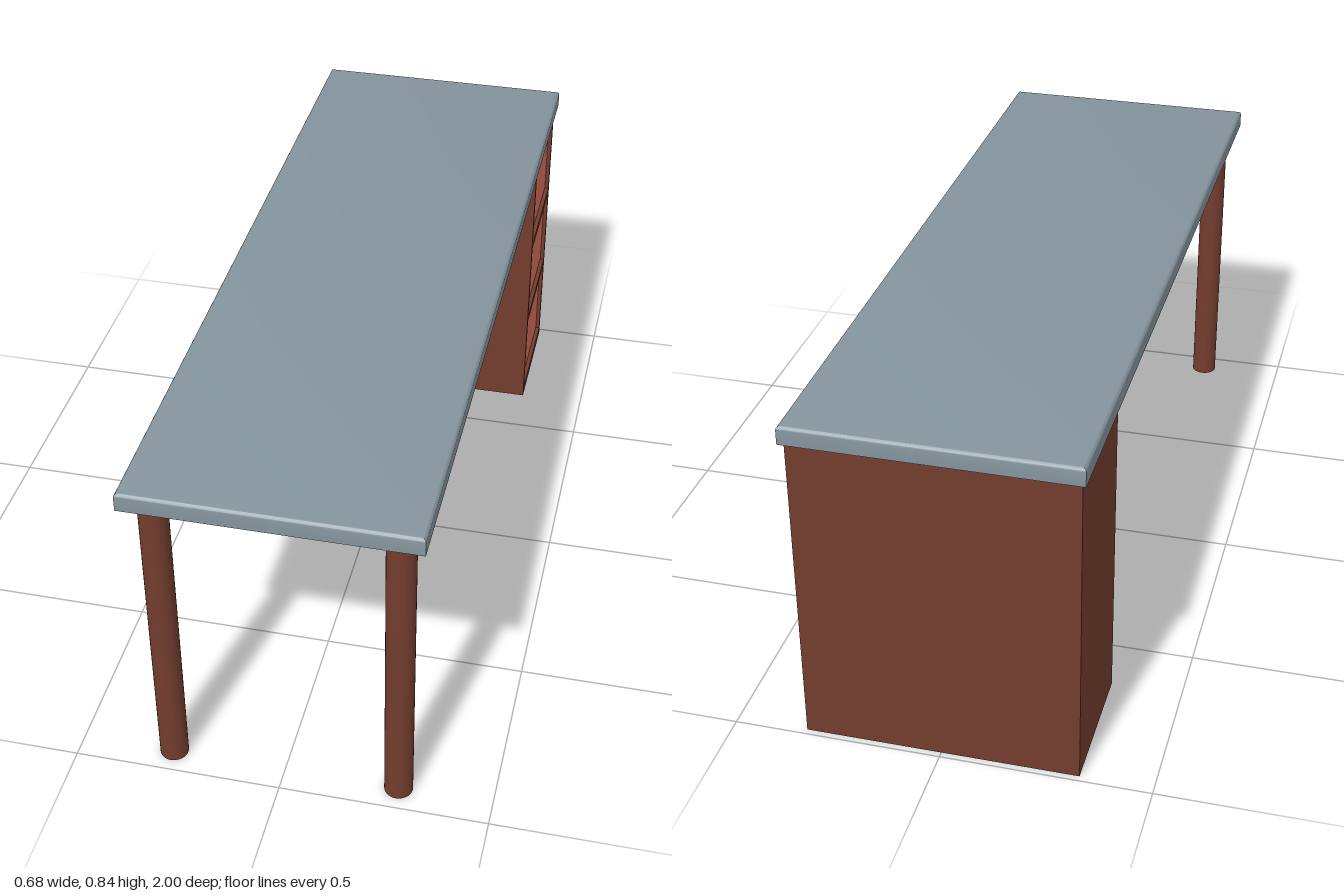
import * as THREE from 'three';
import { toCreasedNormals } from 'three/addons/utils/BufferGeometryUtils.js';

const wood = new THREE.MeshStandardMaterial({ color: 0x733d2e });
wood.name = 'brown wood';
const salmon = new THREE.MeshStandardMaterial({ color: 0xd9705f });
salmon.name = 'salmon drawer';
const grey = new THREE.MeshStandardMaterial({ color: 0x84949d });
grey.name = 'blue grey top';

function addMesh(parent, name, geometry, material) {
  const mesh = new THREE.Mesh(geometry, material);
  mesh.name = name;
  parent.add(mesh);
  return mesh;
}

const polygon = (pairs) => pairs.map(([x, y]) => new THREE.Vector2(x, y));
const rectangle = (x0, y0, x1, y1) => polygon([[x0, y0], [x1, y0], [x1, y1], [x0, y1]]);

// Extrudes a side profile (u = -z, v = y) from x0 to x1
function extrudeAcross(shape, x0, x1) {
  const g = new THREE.ExtrudeGeometry(shape, { depth: x1 - x0, bevelEnabled: false });
  return g.rotateY(Math.PI / 2).translate(x0, 0, 0);
}

// Slab with rounded upper edges and square lower edges
function tabletopGeometry(halfX, halfZ, y0, y1, r) {
  const g = new THREE.ExtrudeGeometry(new THREE.Shape(rectangle(-halfX, -halfZ, halfX, halfZ)), {
    depth: y1 - y0 - 2 * r, bevelThickness: r, bevelSize: r, bevelOffset: -r, bevelSegments: 4,
  });
  g.rotateX(-Math.PI / 2).translate(0, y0 + r, 0);
  const p = g.attributes.position;
  for (let i = 0; i < p.count; i++) {
    if (p.getY(i) < (y0 + y1) / 2) {
      p.setX(i, Math.sign(p.getX(i)) * halfX);
      p.setZ(i, Math.sign(p.getZ(i)) * halfZ);
    }
  }
  return toCreasedNormals(g, 0.6);
}

export function createModel() {
  const desk = new THREE.Group();
  desk.name = 'desk';

  addMesh(desk, 'tabletop', tabletopGeometry(0.338, 1, 0.795, 0.84, 0.009), grey);

  // Round front legs
  for (const side of [1, -1]) {
    const leg = addMesh(desk, side > 0 ? 'leftLeg' : 'rightLeg',
      new THREE.CylinderGeometry(0.034, 0.034, 0.797, 32), wood);
    leg.position.set(side * 0.275, 0.3985, 0.938);
  }

  // Cabinet with three openings on the left side
  const cabinet = new THREE.Group();
  cabinet.name = 'cabinet';
  desk.add(cabinet);
  const frame = new THREE.Shape(rectangle(0.645, 0, 0.985, 0.79));
  const drawers = [[0.026, 0.262], [0.281, 0.513], [0.532, 0.771]];
  for (const [low, high] of drawers) {
    frame.holes.push(new THREE.Path(rectangle(0.659, low, 0.971, high)));
  }
  addMesh(cabinet, 'cabinetBody', extrudeAcross(frame, -0.31, 0.328), wood);
  addMesh(cabinet, 'cabinetBack', extrudeAcross(new THREE.Shape(rectangle(0.645, 0, 0.985, 0.79)), -0.328, -0.31), wood);

  // Recessed drawer fronts with a finger notch, and floors behind them
  const mid = 0.815;
  drawers.forEach(([low, high], i) => {
    const bottom = low + 0.005, top = high - 0.005;
    const front = new THREE.Shape(polygon([
      [0.664, bottom], [0.966, bottom], [0.966, top],
      [mid + 0.062, top], [mid + 0.05, top - 0.008], [mid + 0.03, top - 0.028],
      [mid - 0.03, top - 0.028], [mid - 0.05, top - 0.008], [mid - 0.062, top],
      [0.664, top],
    ]));
    addMesh(cabinet, `drawerFront${i + 1}`, extrudeAcross(front, 0.3, 0.318), salmon);
    addMesh(cabinet, `drawerFloor${i + 1}`,
      extrudeAcross(new THREE.Shape(rectangle(0.664, bottom, 0.966, bottom + 0.01)), -0.3, 0.3), salmon);
  });

  return desk;
}
